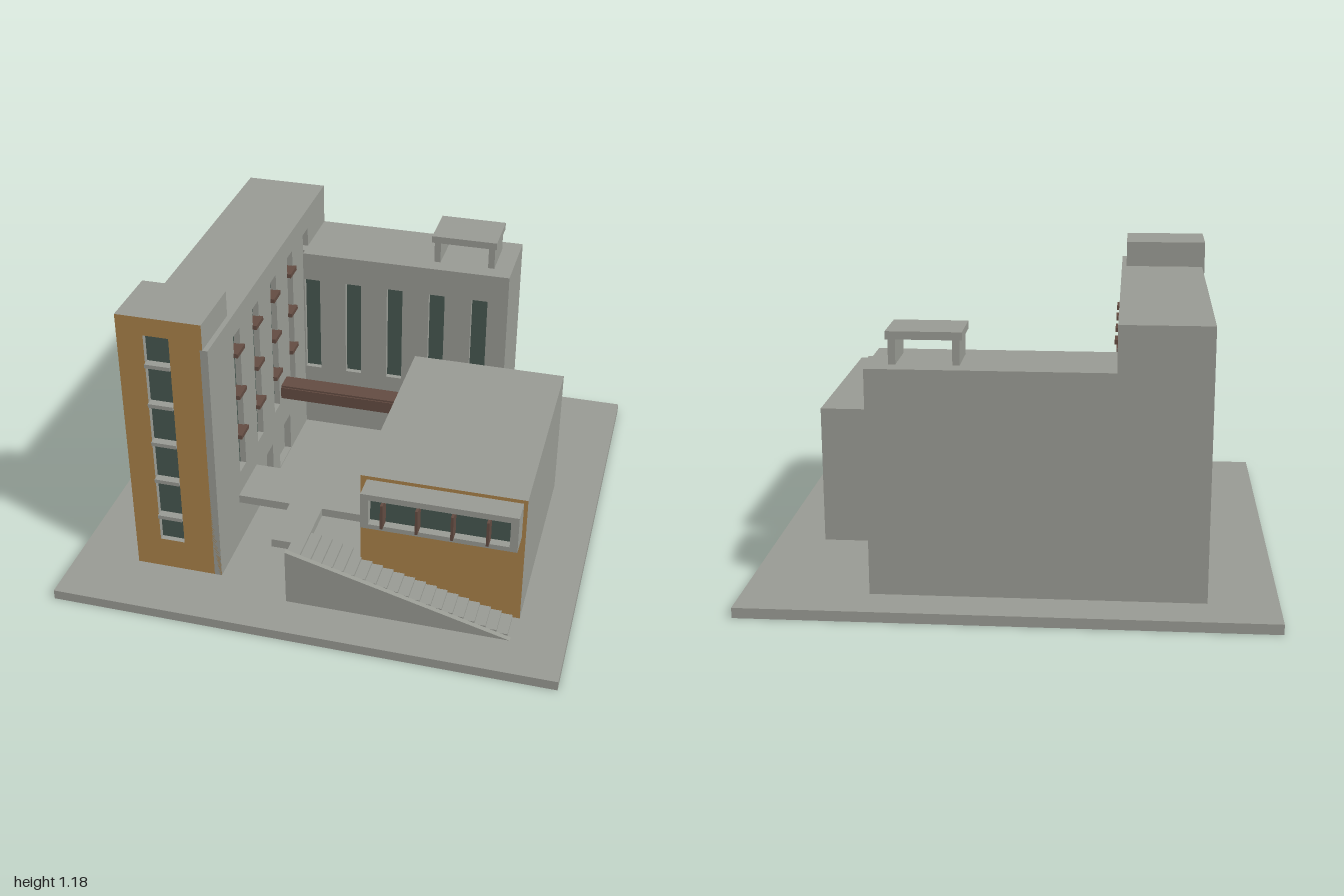
import * as THREE from 'three';

const mat = (name, color) => {
  const m = new THREE.MeshStandardMaterial({ color });
  m.name = name;
  return m;
};

export function createModel() {
  const concrete = mat('concrete grey', 0x989a93);
  const ochre = mat('ochre cladding', 0xa88149);
  const glass = mat('dark green glass', 0x46564f);
  const brown = mat('brown metal', 0x624b41);
  const model = new THREE.Group();

  // Box given by its minimum and maximum on each axis
  const box = (name, m, x0, x1, y0, y1, z0, z1) => {
    const mesh = new THREE.Mesh(new THREE.BoxGeometry(x1 - x0, y1 - y0, z1 - z0), m);
    mesh.position.set((x0 + x1) / 2, (y0 + y1) / 2, (z0 + z1) / 2);
    mesh.name = name;
    model.add(mesh);
    return mesh;
  };

  // Wall panel with rectangular openings [u0, u1, y0, y1]
  const panel = (name, mats, outline, holes, depth) => {
    const shape = new THREE.Shape(outline.map(p => new THREE.Vector2(...p)));
    for (const [a, b, c, d] of holes) {
      shape.holes.push(new THREE.Path([[a, c], [a, d], [b, d], [b, c]].map(p => new THREE.Vector2(...p))));
    }
    const mesh = new THREE.Mesh(new THREE.ExtrudeGeometry(shape, { depth, bevelEnabled: false }), mats);
    mesh.name = name;
    model.add(mesh);
    return mesh;
  };
  const rect = (a, b, c, d) => [[a, c], [b, c], [b, d], [a, d]];

  box('groundSlab', concrete, -1, 1, 0, 0.04, -0.97, 0.97);

  // Long left wing with recessed windows and doors facing the courtyard
  box('longWing', concrete, -0.735, -0.42, 0.04, 1.08, -0.8, 0.68);
  const windowZ = [0.405, 0.178, -0.05, -0.277, -0.505];
  const wingHoles = windowZ.map((z, i) => [-z - 0.037, -z + 0.037, i === 4 ? 0.85 : 0.36, 0.99]);
  const doorHoles = [-0.14, 0.11].map(z => [-z - 0.08, -z + 0.08, 0.045, 0.225]);
  const wall = panel('longWingWall', concrete, rect(-0.71, 0.8, 0.04, 1.08), [...wingHoles, ...doorHoles], 0.03);
  wall.rotation.y = Math.PI / 2;
  wall.position.x = -0.42;
  windowZ.forEach((z, i) => {
    box('wingWindow', glass, -0.425, -0.415, i === 4 ? 0.85 : 0.36, 0.99, z - 0.037, z + 0.037);
    for (const y of [0.535, 0.72, 0.91]) {
      if (i < 4) box('windowBar', brown, -0.42, -0.373, y - 0.009, y + 0.009, z - 0.042, z + 0.042);
    }
  });

  // Stair tower at the front of the long wing
  box('tower', concrete, -0.745, -0.41, 0.04, 1.185, 0.44, 0.68);
  panel('towerFront', [ochre, concrete],
    [[-0.745, 0.04], [-0.39, 0.04], [-0.39, 1.08], [-0.41, 1.08], [-0.41, 1.185], [-0.745, 1.185]],
    [[-0.64, -0.54, 0.175, 1.11]], 0.03).position.z = 0.68;
  box('towerWindow', glass, -0.64, -0.54, 0.175, 1.11, 0.68, 0.687);
  for (let i = 0; i < 5; i++) {
    const y = 0.29 + i * 0.1735;
    box('towerWindowBar', concrete, -0.64, -0.54, y - 0.008, y + 0.008, 0.68, 0.72);
  }

  // Rear wing with five tall windows
  box('rearWing', concrete, -0.42, 0.52, 0.04, 0.905, -0.8, -0.495);
  const rearX = [-0.35, -0.164, 0.023, 0.21, 0.397];
  panel('rearWingWall', concrete, rect(-0.39, 0.52, 0.04, 0.905),
    rearX.map(x => [x - 0.035, x + 0.035, 0.335, 0.78]), 0.03).position.z = -0.495;
  for (const x of rearX) box('rearWindow', glass, x - 0.035, x + 0.035, 0.335, 0.78, -0.495, -0.488);

  // Rooftop canopy
  box('canopyRoof', concrete, 0.17, 0.45, 1.0, 1.03, -0.735, -0.525);
  for (const x of [0.18, 0.415]) box('canopyLeg', concrete, x, x + 0.027, 0.905, 1.0, -0.725, -0.535);

  // Right block with ochre front and projecting window box
  box('hallBlock', concrete, 0.17, 0.805, 0.04, 0.6, -0.24, 0.65);
  panel('hallFront', [ochre, concrete], rect(0.17, 0.805, 0.04, 0.6), [], 0.01).position.z = 0.65;
  box('windowBox', concrete, 0.195, 0.79, 0.43, 0.585, 0.66, 0.715);
  panel('windowBoxFrame', concrete, rect(0.195, 0.79, 0.43, 0.585),
    [[0.225, 0.76, 0.45, 0.56]], 0.04).position.z = 0.715;
  box('windowBoxGlass', glass, 0.225, 0.76, 0.45, 0.56, 0.715, 0.722);
  for (const x of [0.28, 0.413, 0.547, 0.68]) {
    box('mullion', brown, x - 0.005, x + 0.005, 0.452, 0.558, 0.722, 0.775);
  }

  // Footbridge between the wing and the hall
  box('footbridge', brown, -0.39, 0.17, 0.38, 0.432, -0.19, -0.105);
  box('footbridgeRail', brown, -0.39, 0.17, 0.432, 0.44, -0.19, -0.11);

  // Raised entrance landing
  box('landing', concrete, -0.39, 0.17, 0.23, 0.265, 0.245, 0.47);
  box('landingArm', concrete, -0.175, -0.04, 0.23, 0.265, 0.47, 0.71);
  box('landingEnd', concrete, -0.095, -0.04, 0.23, 0.265, 0.71, 0.775);

  // Stairs going down to the right, with a sloping side wall
  const steps = 19;
  for (let i = 0; i < steps; i++) {
    const x = -0.04 + i * 0.043;
    box('stairStep', concrete, x, x + 0.043, 0.03, 0.255 - i * 0.0113, 0.62, 0.775);
  }
  panel('stairWall', concrete, [[-0.095, 0.04], [0.79, 0.04], [-0.095, 0.28]], [], 0.02).position.z = 0.775;

  return model;
}
